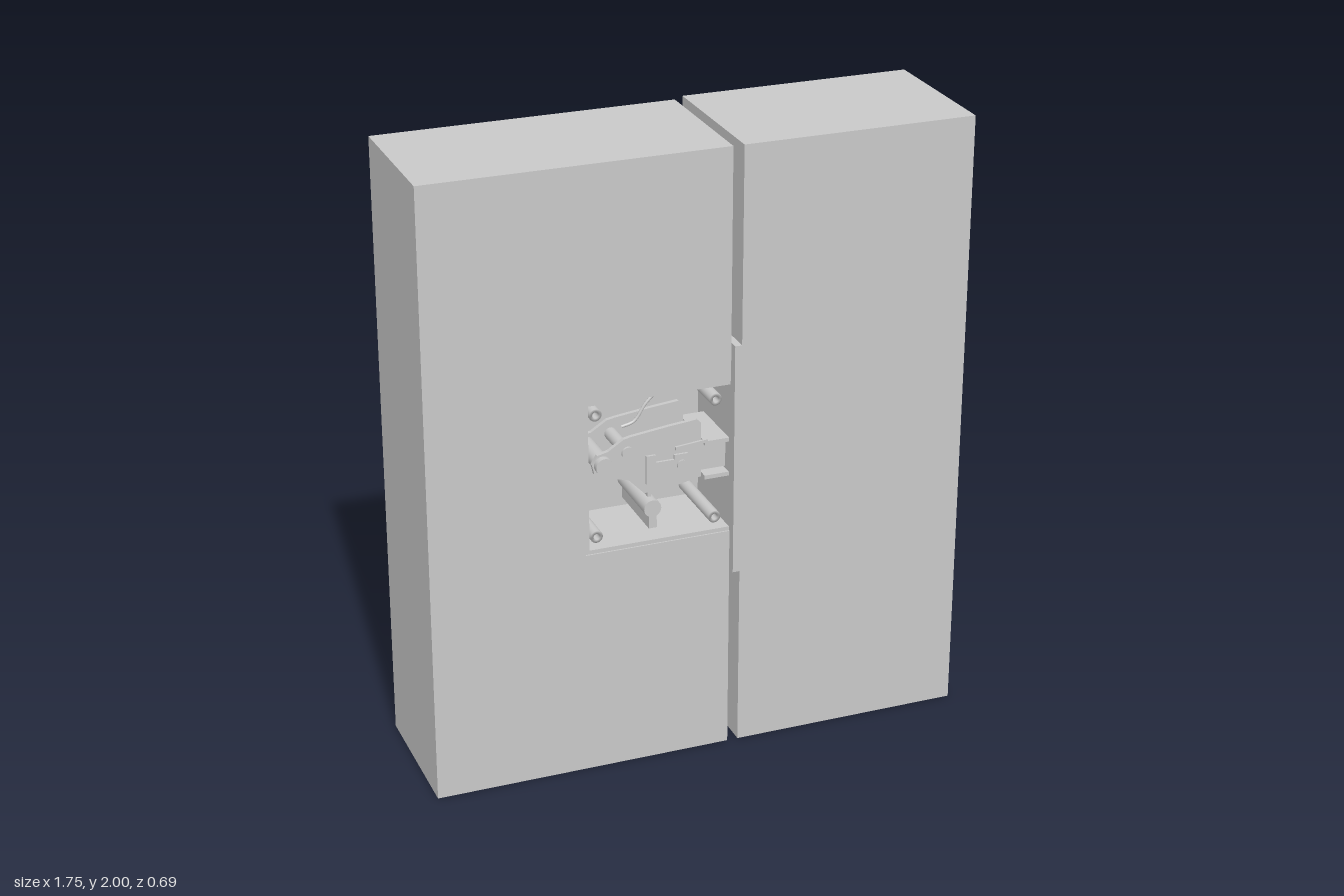
import * as THREE from 'three';

export function createModel() {
  const model = new THREE.Group();
  const grey = new THREE.MeshStandardMaterial({ color: 0xc8c8c8 });
  grey.name = 'grey metal';

  const add = (name, geometry) => {
    const mesh = new THREE.Mesh(geometry, grey);
    mesh.name = name;
    model.add(mesh);
    return mesh;
  };
  // Box given by its two opposite corners
  const box = (name, x0, x1, y0, y1, z0, z1) =>
    add(name, new THREE.BoxGeometry(x1 - x0, y1 - y0, z1 - z0))
      .position.set((x0 + x1) / 2, (y0 + y1) / 2, (z0 + z1) / 2);
  // Outline in x and y, extruded from z0 to z1
  const plate = (name, points, z0, z1, holes = []) => {
    const shape = new THREE.Shape(points.map(([x, y]) => new THREE.Vector2(x, y)));
    for (const [x, y, r] of holes) {
      shape.holes.push(new THREE.Path().absarc(x, y, r, 0, Math.PI * 2, true));
    }
    const geometry = new THREE.ExtrudeGeometry(shape, { depth: z1 - z0, bevelEnabled: false });
    return add(name, geometry.translate(0, 0, z0));
  };
  // Round pin along z
  const pin = (name, x, y, r, z0, z1) => {
    const mesh = add(name, new THREE.CylinderGeometry(r, r, z1 - z0, 24));
    mesh.rotation.x = Math.PI / 2;
    mesh.position.set(x, y, (z0 + z1) / 2);
  };

  // Door panel with a pocket open to the front and to the edge
  const back = 0.03;
  box('doorBack', -0.875, 0.09, 0, 2, -0.16, back);
  plate('doorFront', [
    [-0.875, 0], [0.09, 0], [0.09, 0.75], [-0.38, 0.75],
    [-0.38, 1.255], [0.09, 1.255], [0.09, 2], [-0.875, 2],
  ], back, 0.31);

  // Frame post beside the door
  box('framePost', 0.125, 0.875, 0, 2, -0.185, 0.31);

  // Lock case lining the pocket
  box('caseBack', -0.38, 0.09, 0.75, 1.255, back, 0.045);
  box('caseSide', -0.38, -0.367, 0.75, 1.255, 0.045, 0.305);
  box('caseFloor', -0.367, 0.09, 0.75, 0.763, 0.045, 0.305);
  box('caseRoof', -0.367, 0.09, 1.242, 1.255, 0.045, 0.305);

  // Hollow corner posts
  const profile = [[0.01, 0], [0.02, 0], [0.02, 0.25], [0.01, 0.25], [0.01, 0]]
    .map(([r, y]) => new THREE.Vector2(r, y));
  for (const [x, y] of [[-0.34, 1.205], [0.047, 1.195], [-0.34, 0.8], [0.045, 0.8]]) {
    const post = add('cornerPost', new THREE.LatheGeometry(profile, 20));
    post.rotation.x = Math.PI / 2;
    post.position.set(x, y, 0.045);
  }

  // Face plate on the door edge, latch and fixing screws
  box('facePlate', 0.09, 0.113, 0.62, 1.38, 0, 0.34);
  box('latchNose', 0.113, 0.125, 0.95, 1.05, 0.1, 0.24);
  for (const y of [0.67, 1.335]) {
    for (const z of [0.06, 0.18]) {
      const screw = add('plateScrew', new THREE.CylinderGeometry(0.017, 0.025, 0.011, 20));
      screw.rotation.z = -Math.PI / 2;
      screw.position.set(0.1185, y, z);
    }
  }

  // Pivoting lever made of two matching side plates
  const lever = [
    [-0.345, 1.01], [-0.32, 0.995], [-0.235, 0.972], [-0.185, 0.92], [-0.1, 0.925],
    [0, 0.945], [0, 1.125], [-0.015, 1.138], [-0.1, 1.13], [-0.225, 1.115],
    [-0.25, 1.11], [-0.3, 1.078], [-0.335, 1.07], [-0.352, 1.04],
  ];
  for (const z of [0.13, 0.28]) plate('leverPlate', lever, z, z + 0.014);
  pin('pivotPin', -0.318, 1.038, 0.028, 0.045, 0.315);
  pin('leverPin', -0.238, 1.065, 0.02, 0.1, 0.302);

  // Latch bolt, its guides and the sliding catch
  box('latchBolt', -0.06, 0.09, 0.955, 1.045, 0.15, 0.27);
  for (const y of [0.935, 1.05]) {
    box('latchGuide', 0.01, 0.09, y, y + 0.013, 0.09, 0.3);
  }
  plate('slidingCatch', [
    [-0.18, 0.95], [-0.12, 0.95], [-0.12, 0.965], [-0.045, 0.965], [-0.045, 1.035],
    [-0.09, 1.035], [-0.09, 1.02], [-0.15, 1.02], [-0.15, 1.045], [-0.18, 1.045],
  ], 0.294, 0.302);
  pin('catchPin', -0.065, 1.0, 0.016, 0.2, 0.307);
  plate('latchArm', [
    [-0.085, 1.05], [0.02, 1.06], [0.02, 1.07], [-0.085, 1.06],
  ], 0.294, 0.302);

  // Curved return spring
  const curve = new THREE.CatmullRomCurve3([
    [-0.23, 1.118], [-0.19, 1.13], [-0.15, 1.185], [-0.11, 1.22], [-0.06, 1.235],
  ].map(([x, y]) => new THREE.Vector3(x, y, 0.22)));
  add('returnSpring', new THREE.TubeGeometry(curve, 24, 0.005, 8));

  // Key cylinder below the lever, with its cam
  pin('keyCylinder', -0.152, 0.855, 0.028, 0.045, 0.28);
  box('cylinderBody', -0.165, -0.139, 0.79, 0.845, 0.045, 0.28);
  box('cylinderCam', -0.157, -0.147, 0.86, 0.93, 0.18, 0.25);

  // Rod and small stud on the rear face
  pin('rearRod', -0.152, 0.802, 0.007, -0.345, -0.15);
  pin('rearStud', -0.152, 0.855, 0.008, -0.168, -0.15);

  return model;
}
